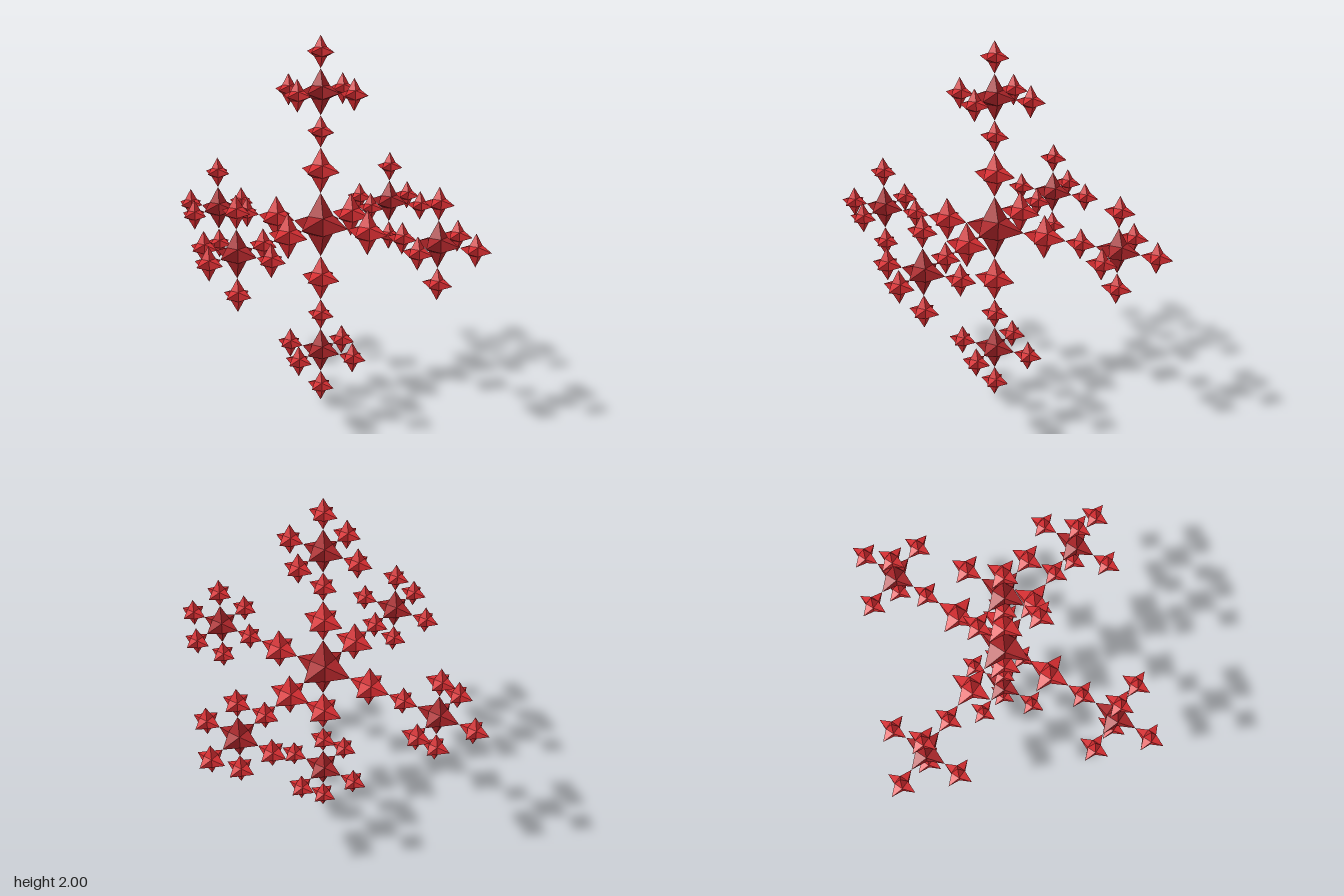
import * as THREE from 'three';

const RATIO = 0.7;    // each generation of stars shrinks by this factor
const R0 = 0.1735;    // tip radius of the core star
const R1 = R0 * RATIO;
const R2 = R1 * RATIO;
const CORE = 0.28;    // half-width of a star's cubic core, relative to its tip

// The six axis directions
const DIRECTIONS = [];
for (const axis of [0, 1, 2]) {
  for (const sign of [1, -1]) DIRECTIONS.push(new THREE.Vector3().setComponent(axis, sign));
}

// Unit star: a cube with a tall pyramid on each face
function starGeometry() {
  const points = [];
  DIRECTIONS.forEach((tip) => {
    const u = new THREE.Vector3(tip.y, tip.z, tip.x);
    const v = new THREE.Vector3().crossVectors(tip, u);
    const ring = [[1, 1], [-1, 1], [-1, -1], [1, -1]].map(([a, b]) =>
      tip.clone().addScaledVector(u, a).addScaledVector(v, b).multiplyScalar(CORE));
    for (let i = 0; i < 4; i++) points.push(tip, ring[i], ring[(i + 1) % 4]);
  });
  const geometry = new THREE.BufferGeometry().setFromPoints(points);
  geometry.computeVertexNormals();
  return geometry;
}

export function createModel() {
  const model = new THREE.Group();
  model.name = 'starCluster';
  const geometry = starGeometry();
  const red = new THREE.MeshStandardMaterial({ color: 0xd42c30, flatShading: true });
  const darkRed = new THREE.MeshStandardMaterial({ color: 0xa82327, flatShading: true });

  function addStar(parent, name, position, radius, material) {
    const star = new THREE.Mesh(geometry, material);
    star.name = name;
    star.position.copy(position);
    star.scale.setScalar(radius);
    parent.add(star);
  }

  // Core star
  const body = new THREE.Group();
  body.name = 'body';
  body.position.y = 1;
  model.add(body);
  addStar(body, 'coreStar', new THREE.Vector3(), R0, darkRed);

  // Six arms: an inner star, then a hub star ringed by six small stars, all touching tip to tip
  const innerDistance = R0 + R1;
  const hubDistance = R0 + 3 * R1 + 2 * R2;
  for (const direction of DIRECTIONS) {
    const arm = new THREE.Group();
    arm.name = 'arm';
    body.add(arm);
    addStar(arm, 'innerStar', direction.clone().multiplyScalar(innerDistance), R1, red);
    const hub = direction.clone().multiplyScalar(hubDistance);
    addStar(arm, 'hubStar', hub, R1, darkRed);
    for (const side of DIRECTIONS) {
      addStar(arm, 'smallStar', hub.clone().addScaledVector(side, R1 + R2), R2, red);
    }
  }
  return model;
}
